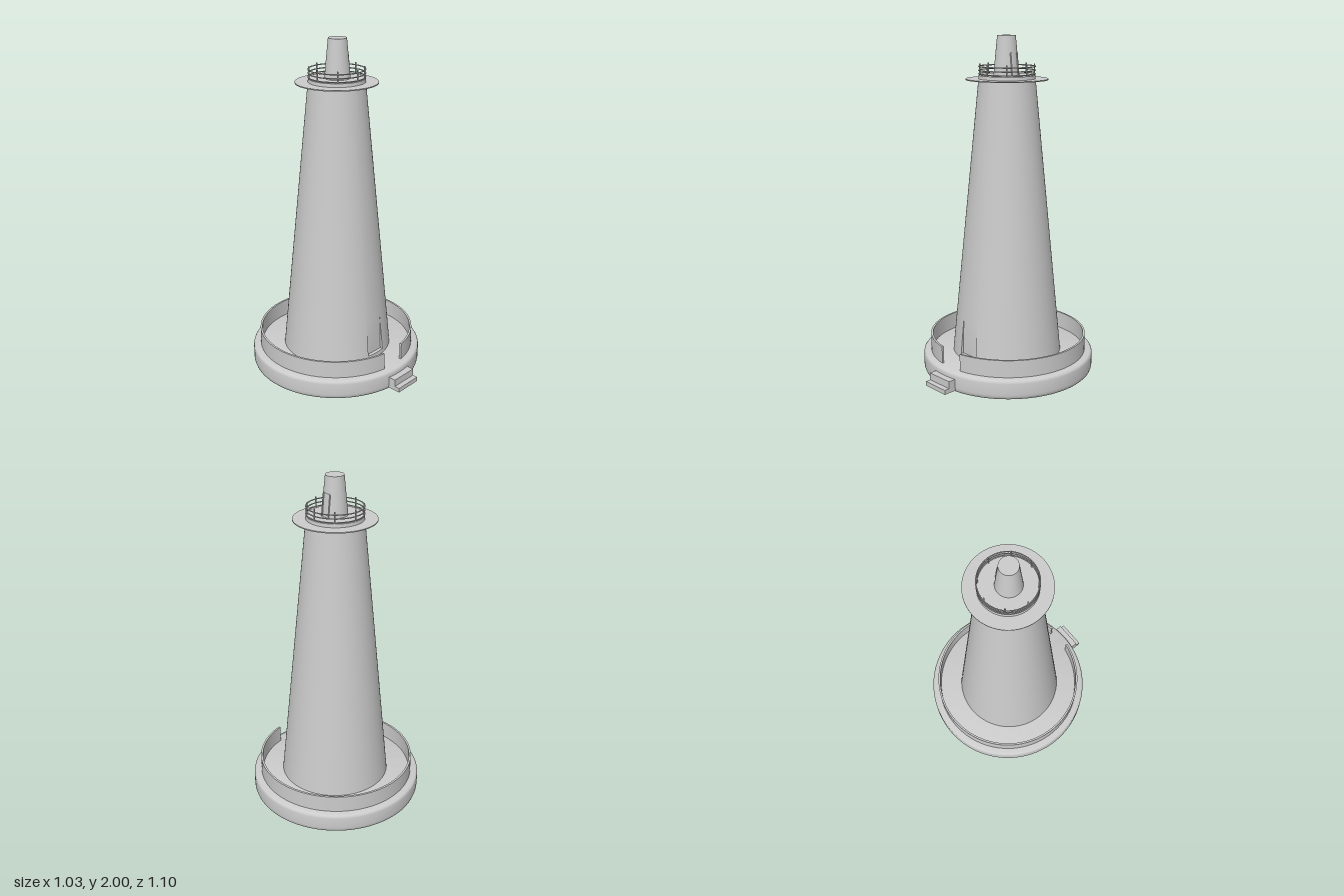
import * as THREE from 'three';
import { toCreasedNormals } from 'three/addons/utils/BufferGeometryUtils.js';

const grey = new THREE.MeshStandardMaterial({ color: 0xcccccc });
const BASE_Z = -0.036, TOWER_Z = -0.026;

export function createModel() {
  const model = new THREE.Group();
  const add = (name, geometry, x = 0, y = 0, z = 0, parent = model) => {
    const mesh = new THREE.Mesh(geometry, grey);
    mesh.name = name;
    mesh.position.set(x, y, z);
    parent.add(mesh);
    return mesh;
  };
  const vec = ([x, y]) => new THREE.Vector2(x, y);
  const lathe = (points, segments, start, length) =>
    new THREE.LatheGeometry(points.map(vec), segments, start, length);

  // Round plinth with softened edges
  const plinth = [[0, 0], [0.505, 0], [0.511, 0.006], [0.515, 0.018], [0.516, 0.03],
    [0.516, 0.095], [0.514, 0.105], [0.508, 0.112], [0.5, 0.115], [0, 0.115]];
  add('plinth', toCreasedNormals(lathe(plinth, 96), 0.6), 0, 0, BASE_Z);

  // Low parapet wall, open at the front
  const gap = 0.165;
  const wallShape = new THREE.Shape();
  wallShape.absarc(0, 0, 0.471, -Math.PI / 2 + gap, 1.5 * Math.PI - gap, false);
  wallShape.absarc(0, 0, 0.459, 1.5 * Math.PI - gap, -Math.PI / 2 + gap, true);
  const wall = new THREE.ExtrudeGeometry(wallShape,
    { depth: 0.107, bevelEnabled: false, curveSegments: 96 });
  wall.rotateX(-Math.PI / 2);
  add('parapetWall', toCreasedNormals(wall, 0.5), 0, 0.111, BASE_Z);

  // Two entrance steps
  const steps = new THREE.Group();
  steps.name = 'entranceSteps';
  model.add(steps);
  add('upperStep', new THREE.BoxGeometry(0.17, 0.07, 0.09), 0, 0.045, 0.473, steps);
  add('lowerStep', new THREE.BoxGeometry(0.17, 0.027, 0.1), 0, 0.0235, 0.5, steps);

  // Tapered tower: plain shell plus a front strip that carries the doorway
  const radiusAt = (y) => 0.339 - 0.0995 * y;
  const ring = (y) => [radiusAt(y), y];
  const halfAngle = 0.2;
  const tower = new THREE.Group();
  tower.name = 'tower';
  tower.position.z = TOWER_Z;
  model.add(tower);
  add('towerShell', lathe([ring(0.11), ring(1.775)], 96, halfAngle, 2 * Math.PI - 2 * halfAngle),
    0, 0, 0, tower);

  // Doorway: upright back panel pushed into the sloping wall
  const rows = [0.11, 0.14, 0.141, 0.355, 0.356, 1.775];
  const columns = 48;
  const strip = lathe(rows.map(ring), columns, -halfAngle, 2 * halfAngle);
  const pos = strip.attributes.position;
  for (let c = 1; c < columns; c++) {
    for (let r = 2; r <= 3; r++) {
      const i = c * rows.length + r;
      pos.setZ(i, Math.min(pos.getZ(i), 0.304));
    }
  }
  add('doorway', toCreasedNormals(strip, 0.3), 0, 0, 0, tower);
  const cap = new THREE.CircleGeometry(radiusAt(1.775), 96);
  cap.rotateX(-Math.PI / 2);
  add('towerTop', cap, 0, 1.775, 0, tower);

  // Thin gallery disc
  add('galleryDisc', new THREE.CylinderGeometry(0.238, 0.238, 0.006, 96), 0, 1.752, TOWER_Z);

  // Gallery railing: three rings and eight posts
  const railing = new THREE.Group();
  railing.name = 'railing';
  railing.position.z = TOWER_Z;
  model.add(railing);
  for (const y of [1.782, 1.803, 1.825]) {
    const rail = new THREE.TorusGeometry(0.162, 0.0035, 8, 72);
    rail.rotateX(Math.PI / 2);
    add('rail', rail, 0, y, 0, railing);
  }
  for (let i = 0; i < 8; i++) {
    const a = (i * Math.PI) / 4;
    add('railPost', new THREE.CylinderGeometry(0.004, 0.004, 0.07, 8),
      0.157 * Math.sin(a), 1.805, 0.157 * Math.cos(a), railing);
  }

  // Lantern room
  const lantern = new THREE.Group();
  lantern.name = 'lantern';
  lantern.position.set(0, 1.77, -0.021);
  model.add(lantern);
  add('lanternBody', new THREE.CylinderGeometry(0.053, 0.075, 0.23, 64), 0, 0.115, 0, lantern);

  // Door frame on the left side of the lantern
  const outline = (path, w, h, r) => path.moveTo(-w, 0).lineTo(w, 0).lineTo(w, h - r)
    .quadraticCurveTo(w, h, w - r, h).lineTo(r - w, h).quadraticCurveTo(-w, h, -w, h - r).lineTo(-w, 0);
  const frame = outline(new THREE.Shape(), 0.027, 0.135, 0.01);
  frame.holes.push(outline(new THREE.Path(), 0.022, 0.13, 0.008));
  const frameGeo = new THREE.ExtrudeGeometry(frame, { depth: 0.02, bevelEnabled: false });
  frameGeo.rotateY(Math.PI / 2);
  const door = add('lanternDoorFrame', frameGeo, 0.057, 0, 0, lantern);
  door.rotation.z = 0.095;

  return model;
}
